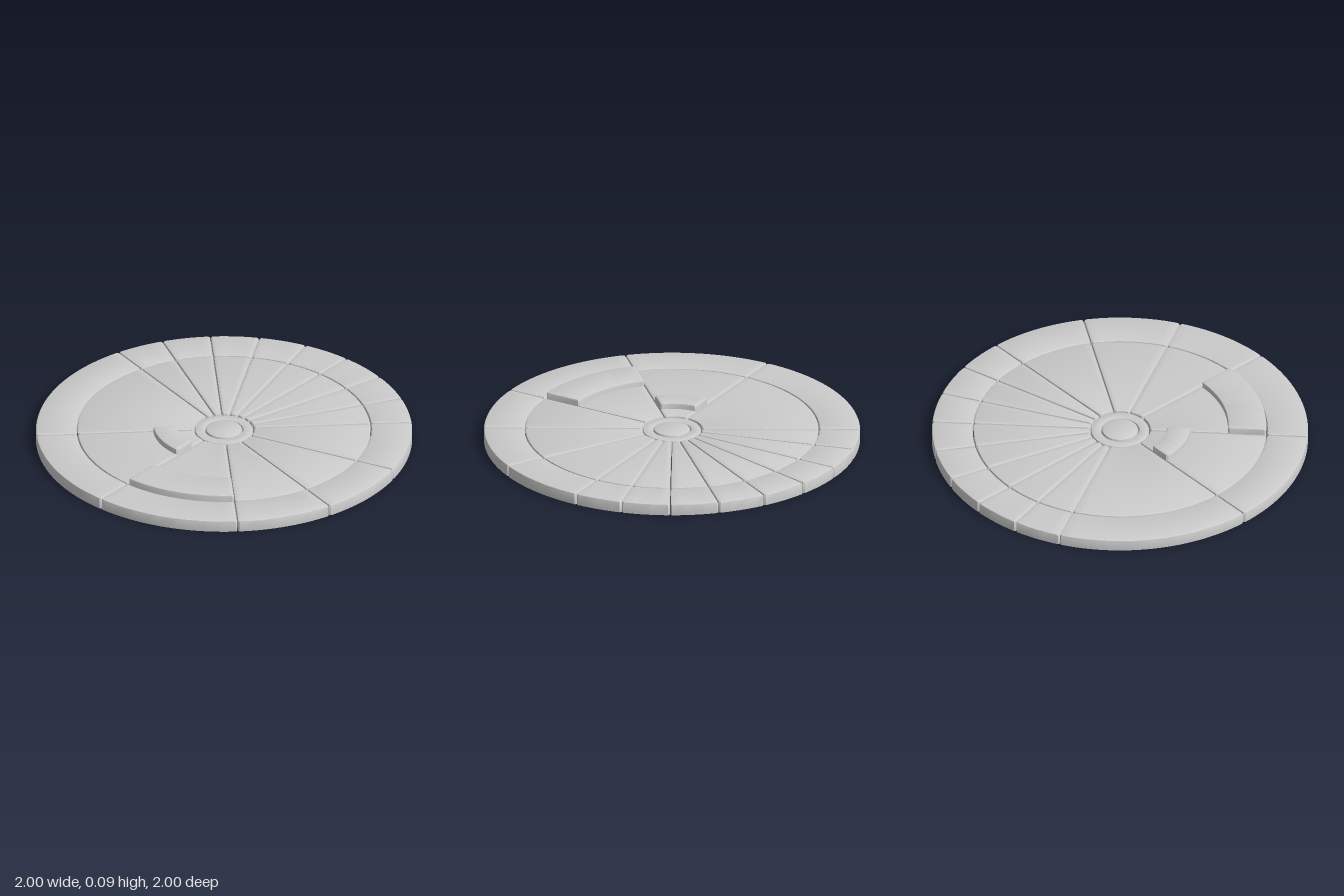
import * as THREE from 'three';
import { toCreasedNormals } from 'three/addons/utils/BufferGeometryUtils.js';

const HEIGHT = 0.063;
const BEVEL = 0.01;
const material = new THREE.MeshStandardMaterial({ color: 0xcccccc, side: THREE.DoubleSide });
const rad = THREE.MathUtils.degToRad;

// Closed outline of an annular sector, pulled in by `inset`, with clipped corners.
// The first half runs along the outer arc, the second half back along the inner arc.
function outline(r0, r1, a0, a1, inset, y) {
  const steps = Math.max(4, Math.ceil((a1 - a0) / rad(2.5)));
  const clip = 0.008;
  const arc = (r, inward) => {
    const pts = [];
    const s = a0 + Math.asin(inset / r), e = a1 - Math.asin(inset / r);
    const put = (radius, a) =>
      pts.push([radius * Math.cos(a), y, -radius * Math.sin(a)]);
    put(r + inward * clip, s);
    for (let i = 0; i <= steps; i++) {
      put(r, THREE.MathUtils.lerp(s + clip / r, e - clip / r, i / steps));
    }
    put(r + inward * clip, e);
    return pts;
  };
  return [...arc(r1 - inset, -1), ...arc(r0 + inset, 1).reverse()];
}

// Hollow tile: side walls, a rounded upper edge and a flat top, open underneath.
function tile(name, r0, r1, from, to, height, gap = 0.0015) {
  const a0 = rad(from), a1 = rad(to);
  const levels = [
    [0, 0], [height - BEVEL, 0], [height - BEVEL * 0.3, BEVEL * 0.3], [height, BEVEL],
  ];
  const loops = levels.map(([y, d]) => outline(r0, r1, a0, a1, gap + d, y));
  const n = loops[0].length;
  const index = [];
  for (let k = 0; k < loops.length - 1; k++) {
    for (let i = 0; i < n; i++) {
      const j = (i + 1) % n, lo = k * n, hi = lo + n;
      index.push(lo + i, lo + j, hi + j, lo + i, hi + j, hi + i);
    }
  }
  // Top face as a strip between the two arcs
  const top = (loops.length - 1) * n;
  for (let i = 0; i < n / 2 - 1; i++) {
    const a = top + i, b = a + 1, c = top + n - 2 - i, d = c + 1;
    index.push(a, b, c, a, c, d);
  }
  const geometry = new THREE.BufferGeometry();
  geometry.setAttribute('position', new THREE.Float32BufferAttribute(loops.flat(2), 3));
  geometry.setIndex(index);
  const mesh = new THREE.Mesh(toCreasedNormals(geometry, 0.6), material);
  mesh.name = name;
  return mesh;
}

function turned(name, profile) {
  const points = profile.map(([x, y]) => new THREE.Vector2(x, y));
  const geometry = toCreasedNormals(new THREE.LatheGeometry(points, 72), 0.6);
  const mesh = new THREE.Mesh(geometry, material);
  mesh.name = name;
  return mesh;
}

export function createModel() {
  const model = new THREE.Group();
  model.name = 'segmentedDisc';

  // Sector boundaries in degrees, counter-clockwise from +x seen from above
  const cuts = [0, 15, 30, 45, 60, 75, 90, 150, 195, 240, 270, 300, 330, 345, 360];
  for (let i = 0; i < cuts.length - 1; i++) {
    model.add(tile('innerSector', 0.158, 0.78, cuts[i], cuts[i + 1], HEIGHT));
    model.add(tile('outerRimSegment', 0.78, 1, cuts[i], cuts[i + 1], HEIGHT));
  }

  // Raised curved blocks rising through two of the sectors
  model.add(tile('largeRaisedBlock', 0.57, 0.78, 195, 240, 0.095, 0.003));
  model.add(tile('smallRaisedBlock', 0.25, 0.38, 150, 195, 0.095, 0.003));

  // Hub ring and centre button
  const h = HEIGHT - 0.005;
  model.add(turned('hubRing', [
    [0.155, 0], [0.155, h - 0.008], [0.152, h - 0.002], [0.147, h],
    [0.108, h], [0.103, h - 0.002], [0.1, h - 0.008], [0.1, 0],
  ]));
  model.add(turned('centreButton', [
    [0.097, 0], [0.097, HEIGHT - 0.01], [0.094, HEIGHT - 0.003], [0.087, HEIGHT], [0, HEIGHT],
  ]));
  return model;
}
